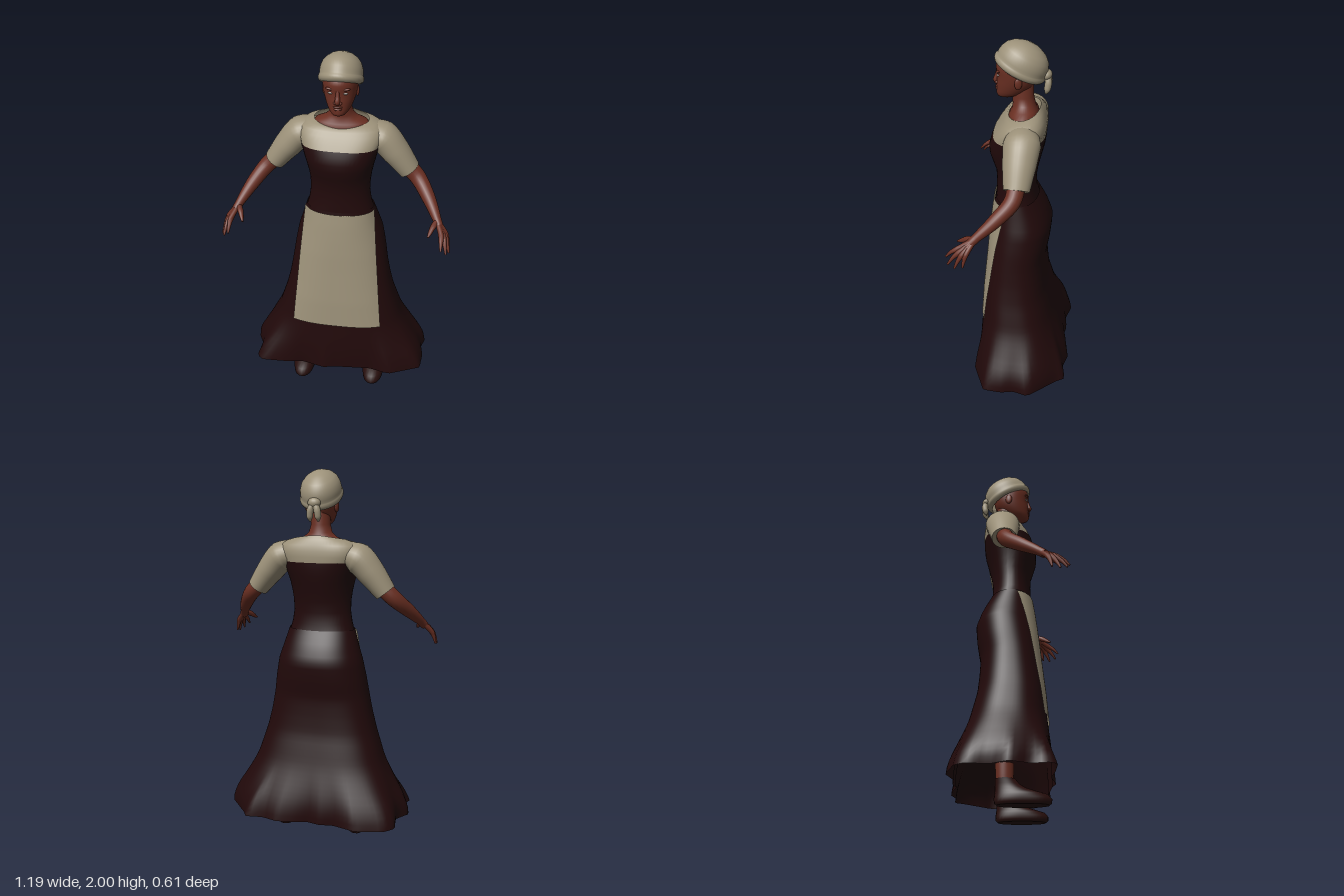
import * as THREE from 'three';

const mat = (name, color, side = THREE.FrontSide) => {
  const m = new THREE.MeshStandardMaterial({ color, side });
  m.name = name;
  return m;
};
const V = (x, y, z) => new THREE.Vector3(x, y, z);
const lerp = THREE.MathUtils.lerp;

// Skin over a stack of rings, each a list of Vector3, with flat end caps
function loft(rings, capped = true) {
  const n = rings[0].length, pos = [], idx = [];
  rings.forEach(r => r.forEach(p => pos.push(p.x, p.y, p.z)));
  for (let j = 0; j < rings.length - 1; j++)
    for (let i = 0; i < n; i++) {
      const a = j * n + i, b = j * n + (i + 1) % n;
      idx.push(a, a + n, b, b, a + n, b + n);
    }
  if (capped) [[rings[0], false], [rings[rings.length - 1], true]].forEach(([r, top]) => {
    const s = pos.length / 3, c = V(0, 0, 0);
    r.forEach(p => { c.addScaledVector(p, 1 / n); pos.push(p.x, p.y, p.z); });
    pos.push(c.x, c.y, c.z);
    for (let i = 0; i < n; i++) {
      const k = (i + 1) % n;
      top ? idx.push(s + n, s + k, s + i) : idx.push(s + n, s + i, s + k);
    }
  });
  const g = new THREE.BufferGeometry();
  g.setAttribute('position', new THREE.Float32BufferAttribute(pos, 3));
  g.setIndex(idx);
  g.computeVertexNormals();
  return g;
}

// Superellipse radius at a polar angle
const radius = (a, rx, rz, p) =>
  (Math.abs(Math.cos(a) / rx) ** p + Math.abs(Math.sin(a) / rz) ** p) ** (-1 / p);

// Horizontal ring: height, half width, front z, back z, squareness, centre x, forward tilt
function ring([y, rx, zf, zb, p = 2, cx = 0, tilt = 0], n = 48) {
  const cz = (zf + zb) / 2, rz = (zf - zb) / 2;
  return Array.from({ length: n }, (_, i) => {
    const a = i / n * Math.PI * 2, r = radius(a, rx, rz, p);
    return V(cx + r * Math.cos(a), y - tilt * Math.sin(a), cz + r * Math.sin(a));
  });
}
const body = rows => loft(rows.map(r => ring(r)));

// Round limb through [x, y, z, radius] points, widened along z by k
function limb(pts, k = 1, n = 16, steps = 12) {
  const curve = new THREE.CatmullRomCurve3(pts.map(p => V(p[0], p[1], p[2])));
  const rings = [];
  for (let j = 0; j <= steps; j++) {
    const t = j / steps, f = t * (pts.length - 1), i = Math.min(Math.floor(f), pts.length - 2);
    const r = lerp(pts[i][3], pts[i + 1][3], f - i);
    const c = curve.getPoint(t), T = curve.getTangent(t);
    const N = T.clone().cross(V(0, 0, 1)).normalize(), B = N.clone().cross(T);
    rings.push(Array.from({ length: n }, (_, q) => {
      const a = q / n * Math.PI * 2;
      return c.clone().addScaledVector(N, r * Math.cos(a)).addScaledVector(B, r * k * Math.sin(a));
    }));
  }
  return loft(rings);
}

// Skirt cross-sections from hem to waist: y, half width, front, back, squareness
const SKIRT = [
  [.135, .5, .22, -.29, 3], [.3, .415, .21, -.245, 2.8], [.45, .355, .197, -.205, 2.7],
  [.6, .307, .187, -.168, 2.6], [.7, .283, .177, -.158, 2.5], [.8, .265, .167, -.153, 2.4],
  [.9, .25, .158, -.17, 2.3], [1, .231, .147, -.18, 2.2], [1.08, .205, .137, -.152, 2.2],
  [1.165, .18, .124, -.105, 2.2]];
// Ruffled hem outline as x, z
const HEM = [[.485, -.02], [.5, .05], [.49, .15], [.31, .228], [.2, .2], [0, .215], [-.07, .23],
  [-.2, .2], [-.3, .215], [-.44, .22], [-.48, .19], [-.46, .1], [-.51, 0], [-.45, -.09],
  [-.47, -.2], [-.43, -.25], [-.27, -.3], [-.14, -.265], [-.07, -.28], [0, -.265], [.07, -.285],
  [.17, -.305], [.26, -.28], [.35, -.3], [.38, -.25], [.51, -.1]];

function skirtAt(y) {
  let i = 0;
  while (i < SKIRT.length - 2 && y > SKIRT[i + 1][0]) i++;
  const A = SKIRT[i], B = SKIRT[i + 1], t = (y - A[0]) / (B[0] - A[0]);
  const [, rx, zf, zb, p] = A.map((v, k) => lerp(v, B[k], t));
  return { rx, p, cz: (zf + zb) / 2, rz: (zf - zb) / 2 };
}
function hemRadius(a, cz) {
  const dx = Math.cos(a), dz = Math.sin(a);
  for (let i = 0; i < HEM.length; i++) {
    const [px, pz0] = HEM[i], [qx, qz0] = HEM[(i + 1) % HEM.length];
    const pz = pz0 - cz, ex = qx - px, ez = qz0 - cz - pz;
    const s = -(px * dz - pz * dx) / (ex * dz - ez * dx);
    const r = (px + ex * s) * dx + (pz + ez * s) * dz;
    if (s >= -1e-6 && s <= 1 + 1e-6 && r > 0) return r;
  }
  return .4;
}
function skirt() {
  const rows = 32, n = 120;
  return loft(Array.from({ length: rows + 1 }, (_, j) => {
    const y = lerp(.135, 1.165, j / rows), { rx, p, cz, rz } = skirtAt(y);
    const w = Math.max(0, (.45 - y) / .315) ** 2;
    return Array.from({ length: n }, (_, i) => {
      const a = i / n * Math.PI * 2;
      const r = lerp(radius(a, rx, rz, p), hemRadius(a, cz), w);
      return V(r * Math.cos(a), y, cz + r * Math.sin(a));
    });
  }), false);
}
// Apron panel lying just proud of the skirt front
function apron() {
  const g = new THREE.PlaneGeometry(2, 1, 32, 28), P = g.attributes.position;
  for (let i = 0; i < P.count; i++) {
    const t = .5 - P.getY(i), y = lerp(1.155, .445, t), s = skirtAt(y);
    const rx = s.rx + .008, x = P.getX(i) * Math.min(lerp(.186, .25, t), rx * .985);
    const z = s.cz + (s.rz + .008) * (1 - Math.abs(x / rx) ** s.p) ** (1 / s.p);
    P.setXYZ(i, x, y, z);
  }
  g.computeVertexNormals();
  return g;
}

export function createModel() {
  const root = new THREE.Group();
  root.name = 'woman';
  const skin = mat('skin', 0x6a2f22), linen = mat('linen', 0x9c9179, THREE.DoubleSide);
  const wool = mat('dark wool', 0x21090a, THREE.DoubleSide), leather = mat('shoe leather', 0x260d0b);
  const white = mat('eye white', 0xb8aea6);
  const add = (name, geo, m, parent = root) => {
    const o = new THREE.Mesh(geo, m);
    o.name = name;
    parent.add(o);
    return o;
  };
  const blob = (name, m, [x, y, z], [sx, sy, sz], parent = root) => {
    const o = add(name, new THREE.SphereGeometry(1, 20, 14), m, parent);
    o.position.set(x, y, z);
    o.scale.set(sx, sy, sz);
    return o;
  };

  // Clothes
  add('skirt', skirt(), wool);
  add('apron', apron(), linen);
  add('bodice', body([[1.15, .179, .122, -.104, 2.2], [1.2, .166, .12, -.093], [1.26, .157, .118, -.09],
    [1.32, .159, .122, -.098], [1.37, .165, .138, -.11, 2.1], [1.42, .175, .152, -.122, 2.2],
    [1.46, .185, .153, -.132, 2.4], [1.5, .195, .142, -.138, 2.6], [1.53, .203, .13, -.14, 2.8]]), wool);
  add('blouse', loft([[1.53, .203, .131, -.14, 2.8], [1.56, .212, .112, -.142, 3], [1.59, .215, .09, -.14, 3],
    [1.615, .208, .073, -.133, 2.8, 0, .006], [1.635, .18, .062, -.12, 2.4, 0, .014],
    [1.645, .14, .054, -.106, 2, 0, .024]].map(r => ring(r)), false), linen);

  // Neck and head
  add('neck', body([[1.58, .16, .058, -.11], [1.615, .148, .056, -.102], [1.64, .132, .046, -.095],
    [1.655, .09, .037, -.088], [1.68, .062, .034, -.08], [1.72, .051, .038, -.072], [1.8, .05, .04, -.07]]), skin);
  const head = new THREE.Group();
  head.name = 'head';
  root.add(head);
  add('face', body([[1.713, .02, .1, .05], [1.719, .036, .111, .02], [1.732, .049, .116, -.015],
    [1.75, .061, .114, -.04], [1.775, .071, .114, -.065], [1.8, .079, .113, -.08], [1.825, .084, .109, -.086],
    [1.85, .087, .114, -.09], [1.875, .088, .116, -.09], [1.9, .086, .11, -.088], [1.94, .07, .08, -.07]]), skin, head);
  add('nose', limb([[0, 1.85, .107, .008], [0, 1.82, .112, .011], [0, 1.797, .118, .014], [0, 1.784, .114, .011]]), skin, head);
  blob('upperLip', skin, [0, 1.766, .109], [.024, .006, .011], head);
  blob('lowerLip', skin, [0, 1.754, .109], [.021, .007, .011], head);
  for (const s of [1, -1]) {
    blob('nostril', skin, [s * .013, 1.787, .111], [.009, .008, .01], head);
    blob('eye', white, [s * .036, 1.835, .101], [.014, .005, .006], head);
    blob('brow', skin, [s * .037, 1.855, .099], [.024, .007, .01], head).rotation.z = s * .1;
    blob('ear', skin, [s * .081, 1.812, -.002], [.01, .03, .019], head).rotation.y = s * .25;
  }

  // Head wrap, knotted behind
  const wrap = new THREE.Group();
  wrap.name = 'headWrap';
  root.add(wrap);
  const profile = [[.88, -.16], [.97, -.12], [1.02, -.04], [1.03, .04], [1, .11], [.975, .16], [.98, .25],
    [.95, .42], [.86, .62], [.69, .79], [.43, .93], [.2, .985], [0, 1]].map(p => new THREE.Vector2(...p));
  const dome = add('wrapDome', new THREE.LatheGeometry(profile, 48), linen, wrap);
  dome.scale.set(.109, .132, .134);
  dome.position.set(0, 1.866, -.002);
  dome.rotation.x = -.46;
  blob('wrapKnot', linen, [0, 1.835, -.134], [.034, .027, .026], wrap);
  for (const s of [1, -1])
    add('wrapTail', limb([[s * .006, 1.835, -.138, .014], [s * .018, 1.8, -.143, .018],
      [s * .022, 1.765, -.138, .017], [s * .022, 1.742, -.132, .005]]), linen, wrap);

  // Arms, hands, legs and shoes on both sides
  for (const s of [1, -1]) {
    const side = s > 0 ? 'left' : 'right';
    const mir = pts => pts.map(([x, y, z, r]) => [s * x, y, z, r]);
    add(side + 'Sleeve', limb(mir([[.09, 1.565, -.035, .055], [.15, 1.563, -.035, .069], [.21, 1.548, -.035, .082],
      [.28, 1.473, -.03, .073], [.355, 1.376, -.025, .057]]), 1.15, 28, 24), linen);
    add(side + 'Arm', limb(mir([[.33, 1.41, -.025, .046], [.4, 1.342, -.01, .043],
      [.462, 1.272, .062, .036], [.515, 1.2, .15, .023], [.53, 1.175, .178, .022]]), 1, 20, 20), skin);
    const hand = new THREE.Group();
    hand.name = side + 'Hand';
    root.add(hand);
    const fingers = [[[.545, 1.15, .237], [.548, 1.1, .298]], [[.558, 1.14, .228], [.575, 1.075, .285]],
      [[.567, 1.135, .212], [.59, 1.063, .25]], [[.568, 1.138, .193], [.589, 1.07, .21]]];
    fingers.forEach(([k, t]) => {
      const mid = k.map((v, i) => lerp(v, t[i], .55) + (i === 1 ? .006 : 0));
      add('finger', limb(mir([[.518, 1.195, .155, .014], [...k, .0145], [...mid, .01], [...t, .005]]), 1, 10), skin, hand);
    });
    add('thumb', limb(mir([[.518, 1.192, .165, .016], [.5, 1.178, .2, .015],
      [.488, 1.16, .228, .011], [.479, 1.147, .25, .005]]), 1, 10), skin, hand);
    // Short ankle, hidden above the hem
    add(side + 'Ankle', body([[.06, .036, .025, -.06, 2, s * .208], [.14, .04, .022, -.064, 2, s * .207],
      [.2, .042, .024, -.068, 2, s * .205]]), skin);
    add(side + 'Shoe', body([[0, .05, .19, -.06, 2.3, s * .21], [.01, .061, .202, -.071, 2.3, s * .21],
      [.03, .064, .203, -.073, 2.2, s * .21], [.05, .06, .185, -.07, 2, s * .21],
      [.064, .053, .14, -.068, 2, s * .209], [.08, .046, .088, -.068, 2, s * .208],
      [.1, .043, .052, -.068, 2, s * .207], [.125, .043, .03, -.068, 2, s * .207]]), leather);
  }
  return root;
}
